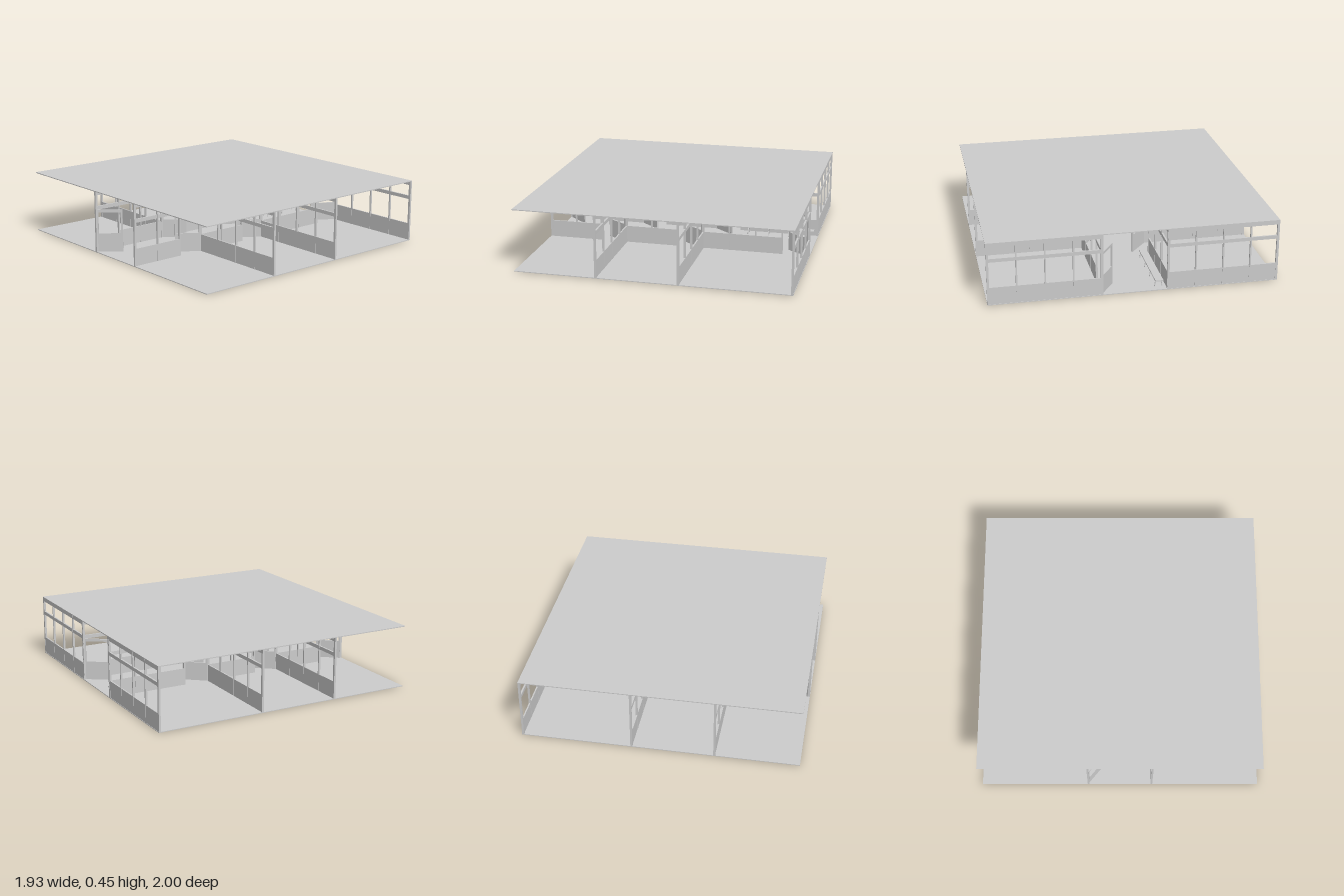
import * as THREE from 'three';

export function createModel() {
  const model = new THREE.Group();
  const mat = new THREE.MeshStandardMaterial({ color: 0xcccccc, flatShading: true, side: THREE.DoubleSide });
  const BAY = 0.193, FLOOR = 0.005, ROOF = 0.445, CORRIDOR = 0.228;
  const wallX = [-0.385, 0.19, 0.957];

  const box = (parent, name, x0, x1, y0, y1, z0, z1) => {
    const mesh = new THREE.Mesh(new THREE.BoxGeometry(x1 - x0, y1 - y0, z1 - z0), mat);
    mesh.position.set((x0 + x1) / 2, (y0 + y1) / 2, (z0 + z1) / 2);
    mesh.name = name;
    parent.add(mesh);
    return mesh;
  };

  // A glazed partition along local +x: low panel, two rails, evenly spaced posts.
  // skip is an optional [start, end] doorway left open below the middle rail.
  const partition = (name, length, skip) => {
    const wall = new THREE.Group();
    wall.name = name;
    const spans = skip ? [[0, skip[0]], [skip[1], length]] : [[0, length]];
    for (const [a, b] of spans) {
      if (b - a > 0.02) box(wall, 'lowPanel', a, b, FLOOR, 0.13, -0.005, 0.005);
    }
    box(wall, 'middleRail', 0, length, 0.313, 0.338, -0.006, 0.006);
    box(wall, 'topRail', 0, length, 0.418, ROOF, -0.006, 0.006);
    const count = Math.round(length / BAY);
    for (let i = 0; i <= count; i++) {
      const x = (length * i) / count;
      const w = i === 0 || i === count ? 0.008 : 0.005;
      const inDoorway = skip && x > skip[0] + 0.01 && x < skip[1] - 0.01;
      box(wall, 'post', x - w, x + w, inDoorway ? 0.338 : FLOOR, ROOF, -0.007, 0.007);
    }
    model.add(wall);
    return wall;
  };

  // Door leaf with a solid lower half and an open window
  const doorShape = new THREE.Shape([[0, 0], [0.183, 0], [0.183, 0.312], [0, 0.312]].map(p => new THREE.Vector2(...p)));
  doorShape.holes.push(new THREE.Path([[0.013, 0.142], [0.013, 0.294], [0.17, 0.294], [0.17, 0.142]].map(p => new THREE.Vector2(...p))));
  const doorGeo = new THREE.ExtrudeGeometry(doorShape, { depth: 0.012, bevelEnabled: false });
  doorGeo.translate(0, 0, -0.006);
  const door = (x, z, dirX, dirZ) => {
    const leaf = new THREE.Mesh(doorGeo, mat);
    leaf.name = 'openDoor';
    leaf.position.set(x, 0, z);
    leaf.rotation.y = Math.atan2(-dirZ, dirX);
    model.add(leaf);
  };

  // Floor and roof slabs
  box(model, 'floor', -0.968, 0.965, 0.003, 0.008, -1, 1);
  box(model, 'roof', -0.968, 0.965, ROOF, 0.451, -1, 1);

  // Cross walls between the rooms, on both sides of the corridor
  for (const x of wallX) {
    for (const s of [1, -1]) {
      const wall = partition('crossWall', 0.992 - CORRIDOR);
      wall.rotation.y = -s * Math.PI / 2;
      wall.position.set(x, 0, s * CORRIDOR);
    }
  }

  // Corridor walls, one doorway per room; front doors at one end, back doors at the other
  const edges = [-0.96, ...wallX];
  for (let i = 0; i < 3; i++) {
    const a = edges[i], length = edges[i + 1] - a;
    partition('frontCorridorWall', length, [length - BAY, length]).position.set(a, 0, CORRIDOR);
    partition('backCorridorWall', length, [0, BAY]).position.set(a, 0, -CORRIDOR);
    door(a + length - 0.004, CORRIDOR + 0.004, -0.15, -0.102);
    door(a + 0.004, -CORRIDOR - 0.002, 0.142, 0.118);
  }

  // Corridor bench on arched legs
  const bench = new THREE.Group();
  bench.name = 'bench';
  box(bench, 'benchSeat', 0.42, 0.94, 0.056, 0.064, -0.2, -0.145);
  for (let i = 0; i < 4; i++) {
    const leg = new THREE.Mesh(new THREE.TubeGeometry(new THREE.CatmullRomCurve3(
      [[-0.026, 0.008], [-0.02, 0.04], [0, 0.058], [0.02, 0.04], [0.026, 0.008]].map(([z, y]) => new THREE.Vector3(0, y, z))
    ), 12, 0.003, 6), mat);
    leg.name = 'benchLeg';
    leg.position.set(0.45 + i * 0.153, 0, -0.172);
    bench.add(leg);
  }
  model.add(bench);
  return model;
}
